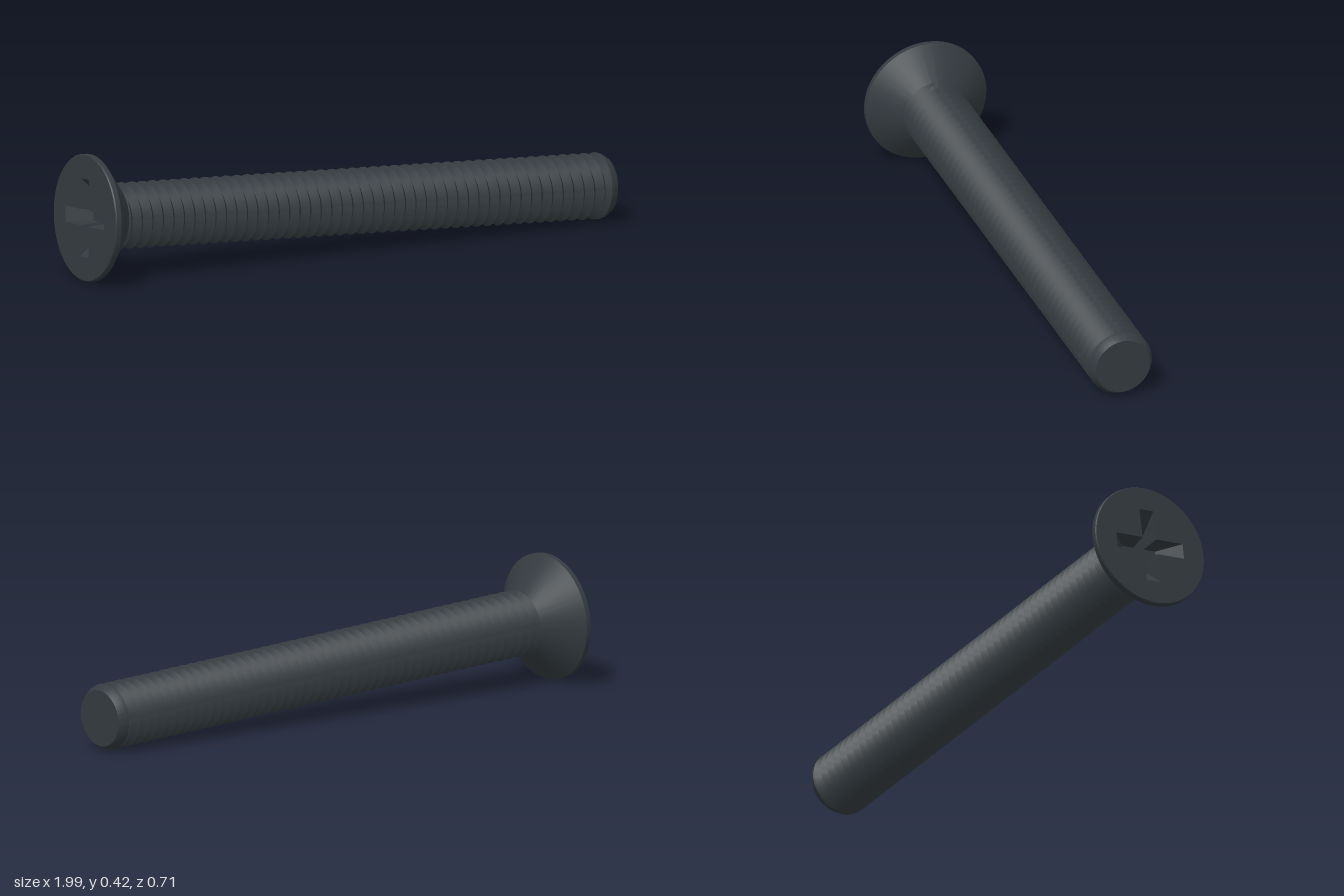
import * as THREE from 'three';
import { toCreasedNormals } from 'three/addons/utils/BufferGeometryUtils.js';

const HEAD = new THREE.Vector3(-0.955, 0.213, -0.153); // centre of the head face
const TIP = new THREE.Vector3(0.975, 0.112, 0.252);    // centre of the end face
const LENGTH = HEAD.distanceTo(TIP);
const HEAD_R = 0.212, CREST = 0.111, ROOT = 0.083, PITCH = 0.04;
const SEGMENTS = 72;

function lathe(profile) {
  const points = profile.map(([r, y]) => new THREE.Vector2(r, y));
  return toCreasedNormals(new THREE.LatheGeometry(points, 96), 0.4);
}

// Outline of a cross with arms of length l and half width w, counter-clockwise
function crossPoints(l, w) {
  const points = [];
  for (let k = 0; k < 4; k++) {
    for (const [x, y] of [[l, -w], [l, w], [w, w]]) {
      points.push(new THREE.Vector2(x, y).rotateAround(new THREE.Vector2(), k * Math.PI / 2));
    }
  }
  return points;
}

// Helical V thread between two positions along the axis
function threadGeometry(start, end) {
  const rows = Math.ceil((end - start) / PITCH) * 2 + 4;
  const positions = [], index = [];
  for (let i = 0; i <= SEGMENTS; i++) {
    const turn = i / SEGMENTS, angle = turn * Math.PI * 2;
    for (let k = 0; k <= rows; k++) {
      const raw = start + ((k - 2) / 2 + turn) * PITCH;
      const s = THREE.MathUtils.clamp(raw, start, end);
      const phase = (s - start) / PITCH - turn + 2;
      const r = ROOT + (CREST - ROOT) * (1 - Math.abs(1 - 2 * (phase % 1)));
      positions.push(r * Math.sin(angle), s, r * Math.cos(angle));
      if (i < SEGMENTS && k < rows) {
        const a = i * (rows + 1) + k, b = a + rows + 1;
        index.push(a, b, a + 1, b, b + 1, a + 1);
      }
    }
  }
  const geometry = new THREE.BufferGeometry();
  geometry.setAttribute('position', new THREE.Float32BufferAttribute(positions, 3));
  geometry.setIndex(index);
  return toCreasedNormals(geometry, 0.6);
}

// Tapered side walls of the driver recess
function recessWalls(outer, inner, depth) {
  const positions = [];
  outer.forEach((a, i) => {
    const j = (i + 1) % outer.length;
    const b = outer[j], c = inner[i], d = inner[j];
    positions.push(a.x, a.y, 0, b.x, b.y, 0, c.x, c.y, -depth);
    positions.push(b.x, b.y, 0, d.x, d.y, -depth, c.x, c.y, -depth);
  });
  const geometry = new THREE.BufferGeometry();
  geometry.setAttribute('position', new THREE.Float32BufferAttribute(positions, 3));
  geometry.computeVertexNormals();
  return geometry;
}

export function createModel() {
  const model = new THREE.Group();
  model.name = 'countersunkScrew';
  const steel = new THREE.MeshStandardMaterial({ color: 0x343b40 });
  steel.name = 'blackened steel';

  const add = (parent, name, geometry) => {
    const mesh = new THREE.Mesh(geometry, steel);
    mesh.name = name;
    parent.add(mesh);
    return mesh;
  };

  // Everything is built along +y from the head face, then laid on its side
  const screw = new THREE.Group();
  screw.name = 'screw';
  const axis = TIP.clone().sub(HEAD).normalize();
  const side = new THREE.Vector3(0, 1, 0).cross(axis).normalize();
  const down = side.clone().cross(axis);
  screw.quaternion.setFromRotationMatrix(new THREE.Matrix4().makeBasis(side, axis, down));
  screw.position.copy(HEAD);
  model.add(screw);

  // Conical head with a narrow rim
  add(screw, 'headCone', lathe([
    [HEAD_R - 0.003, 0], [HEAD_R, 0.004], [HEAD_R, 0.021], [ROOT, 0.128],
  ]));

  // Flat head face with the cross recess
  const face = new THREE.Group();
  face.name = 'headFace';
  face.rotation.set(0, -0.08, 0);
  screw.add(face);
  const depth = 0.07;
  const outer = crossPoints(0.13, 0.027), inner = crossPoints(0.065, 0.02);
  const disc = new THREE.Shape().absarc(0, 0, HEAD_R - 0.003, 0, Math.PI * 2);
  disc.holes.push(new THREE.Path(outer));
  add(face, 'facePlate', new THREE.ShapeGeometry(disc, 48).rotateX(Math.PI / 2));
  add(face, 'recessWalls', recessWalls(outer, inner, depth).rotateX(Math.PI / 2));
  add(face, 'recessFloor', new THREE.ShapeGeometry(new THREE.Shape(inner))
    .rotateX(Math.PI / 2).translate(0, depth, 0));

  // Threaded shaft and its chamfered end
  add(screw, 'threadedShaft', threadGeometry(0.105, LENGTH - 0.03));
  add(screw, 'chamferedTip', lathe([
    [ROOT, LENGTH - 0.05], [CREST, LENGTH - 0.032], [CREST - 0.002, LENGTH - 0.022],
    [0.095, LENGTH], [0, LENGTH],
  ]));

  return model;
}
